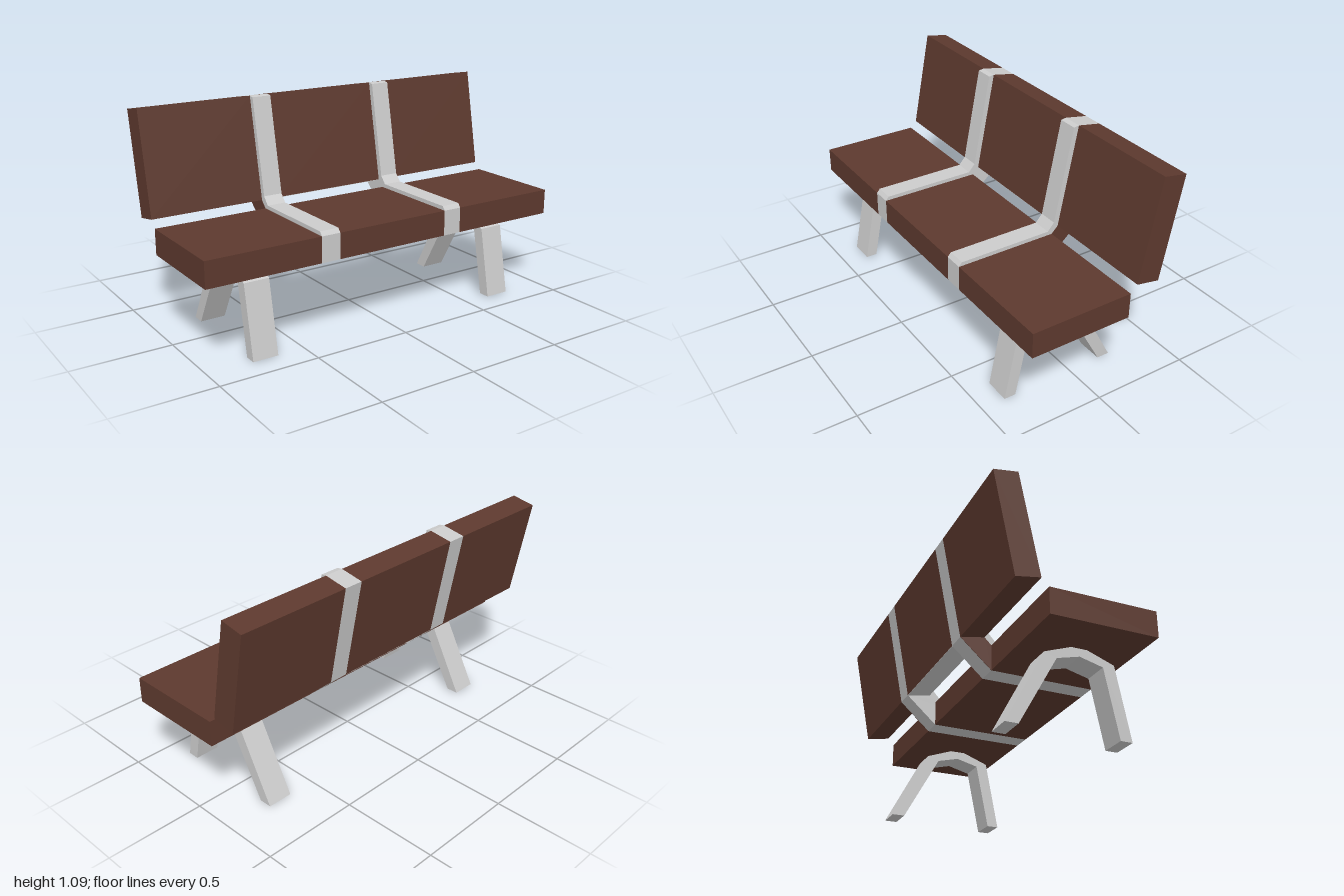
import * as THREE from 'three';

const brown = new THREE.MeshStandardMaterial({ color: 0x5d392e, flatShading: true });
const grey = new THREE.MeshStandardMaterial({ color: 0xcccccc, flatShading: true });

// Side profiles as [z, y] corners
const seatProfile = [[0.395, 0.41], [0.395, 0.54], [-0.135, 0.54], [-0.135, 0.41]];
const backProfile = [[-0.17, 0.575], [-0.268, 1.09], [-0.39, 1.068], [-0.293, 0.552]];
const linkProfile = [[-0.135, 0.41], [-0.135, 0.54], [-0.17, 0.575], [-0.293, 0.552]];
const railProfile = [[-0.17, 0.575], [-0.293, 0.552], [-0.293, 0.55], [-0.17, 0.573]];
const strapProfile = [
  [0.395, 0.41], [0.395, 0.54], [0.378, 0.56], [-0.112, 0.56], [-0.147, 0.6],
  [-0.24, 1.086], [-0.268, 1.09], [-0.39, 1.068], [-0.293, 0.552], [-0.135, 0.41],
];
const legProfile = [
  [0.375, 0], [0.305, 0.36], [0.13, 0.425], [-0.047, 0.36], [-0.24, 0],
  [-0.175, 0], [0.015, 0.34], [0.13, 0.37], [0.247, 0.34], [0.315, 0],
];

// Extrudes a side profile across the width from x0 to x1
function slab(name, profile, x0, x1, material) {
  const shape = new THREE.Shape(profile.map(([z, y]) => new THREE.Vector2(z, y)));
  const geometry = new THREE.ExtrudeGeometry(shape, { depth: x1 - x0, bevelEnabled: false });
  geometry.rotateY(-Math.PI / 2).translate(x1, 0, 0);
  const mesh = new THREE.Mesh(geometry, material);
  mesh.name = name;
  return mesh;
}

export function createModel() {
  const bench = new THREE.Group();
  bench.name = 'bench';

  // Planks fill the spaces between and beside the straps
  for (const [label, x0, x1] of [['right', -1, -0.41], ['middle', -0.31, 0.31], ['left', 0.41, 1]]) {
    bench.add(slab(label + 'SeatPlank', seatProfile, x0, x1, brown));
    bench.add(slab(label + 'BackPlank', backProfile, x0, x1, brown));
  }

  // Grey strip under the middle of the backrest
  bench.add(slab('backRail', railProfile, -0.31, 0.31, grey));

  // Bent straps, their brown outer link faces and the arched legs, on both sides
  for (const [label, side] of [['right', -1], ['left', 1]]) {
    const across = (name, profile, inner, outer, material) => bench.add(slab(
      label + name, profile, Math.min(side * inner, side * outer), Math.max(side * inner, side * outer), material));
    across('Strap', strapProfile, 0.31, 0.41, grey);
    across('StrapLinkFace', linkProfile, 0.41, 0.412, brown);
    across('ArchedLeg', legProfile, 0.64, 0.77, grey);
  }
  return bench;
}
